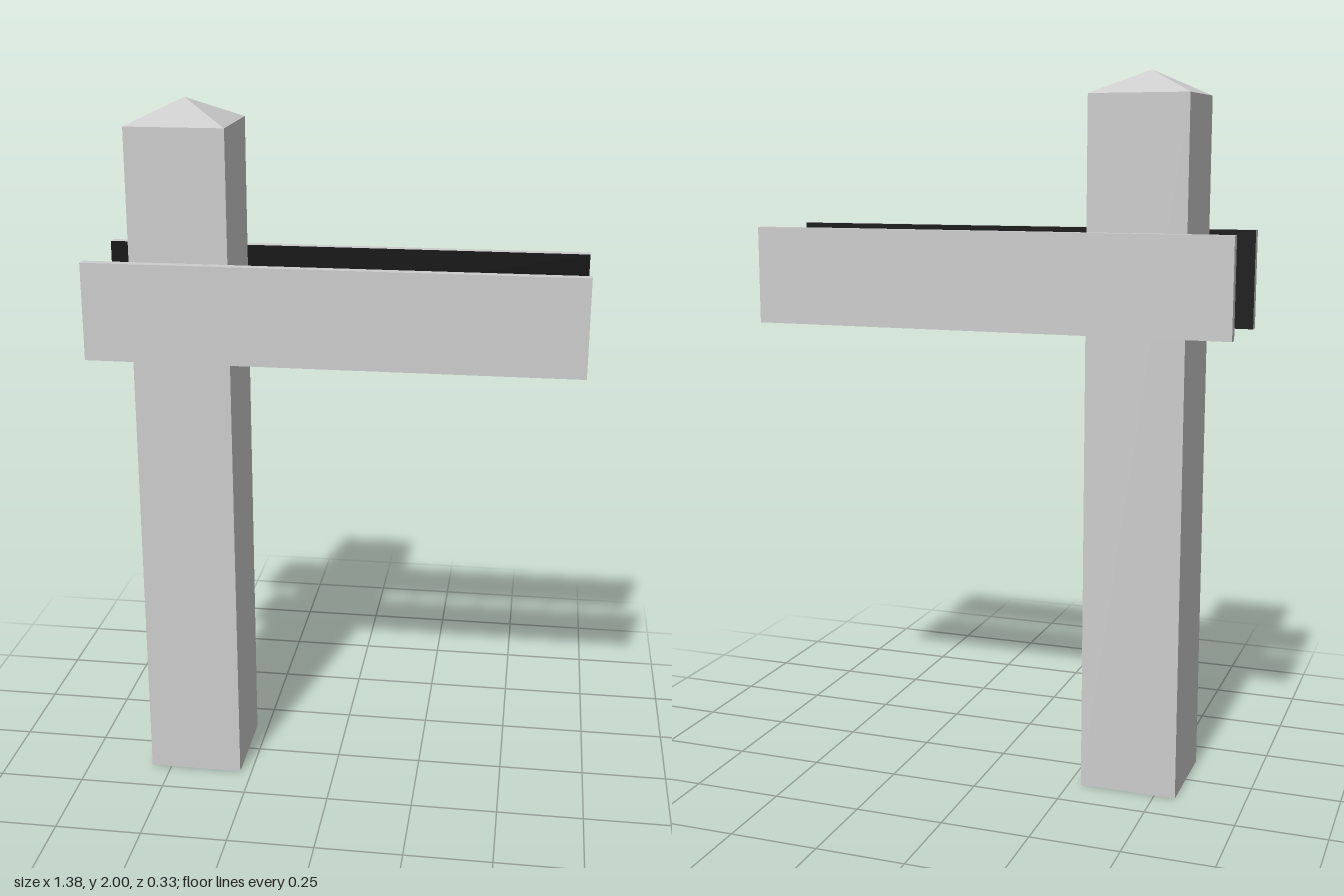
import * as THREE from 'three';

export function createModel() {
  const model = new THREE.Group();
  model.name = 'signpost';

  const grey = new THREE.MeshStandardMaterial({ color: 0xcccccc });
  grey.name = 'light grey';
  const black = new THREE.MeshStandardMaterial({ color: 0x0a0a0a });
  black.name = 'black';

  const postX = -0.422, postWidth = 0.275, postHeight = 1.935;

  const add = (name, geometry, material, x, y, z) => {
    const mesh = new THREE.Mesh(geometry, material);
    mesh.name = name;
    mesh.position.set(x, y, z);
    model.add(mesh);
  };

  // Square post
  add('post', new THREE.BoxGeometry(postWidth, postHeight, postWidth), grey, postX, postHeight / 2, 0);

  // Four-sided pointed cap with flat faces
  const capHeight = 2 - postHeight;
  const cap = new THREE.ConeGeometry(postWidth / Math.SQRT2, capHeight, 4, 1, true)
    .rotateY(Math.PI / 4)
    .toNonIndexed();
  cap.computeVertexNormals();
  add('postCap', cap, grey, postX, postHeight + capHeight / 2, 0);

  // Sign boards on the front and back of the post, black on their inner faces
  const boardDepth = 0.028;
  for (const side of [1, -1]) {
    const materials = new Array(6).fill(grey);
    materials[side > 0 ? 5 : 4] = black;
    add(side > 0 ? 'frontBoard' : 'backBoard',
      new THREE.BoxGeometry(1.38, 0.275, boardDepth), materials,
      0, 1.434, side * (postWidth + boardDepth) / 2);
  }

  return model;
}
